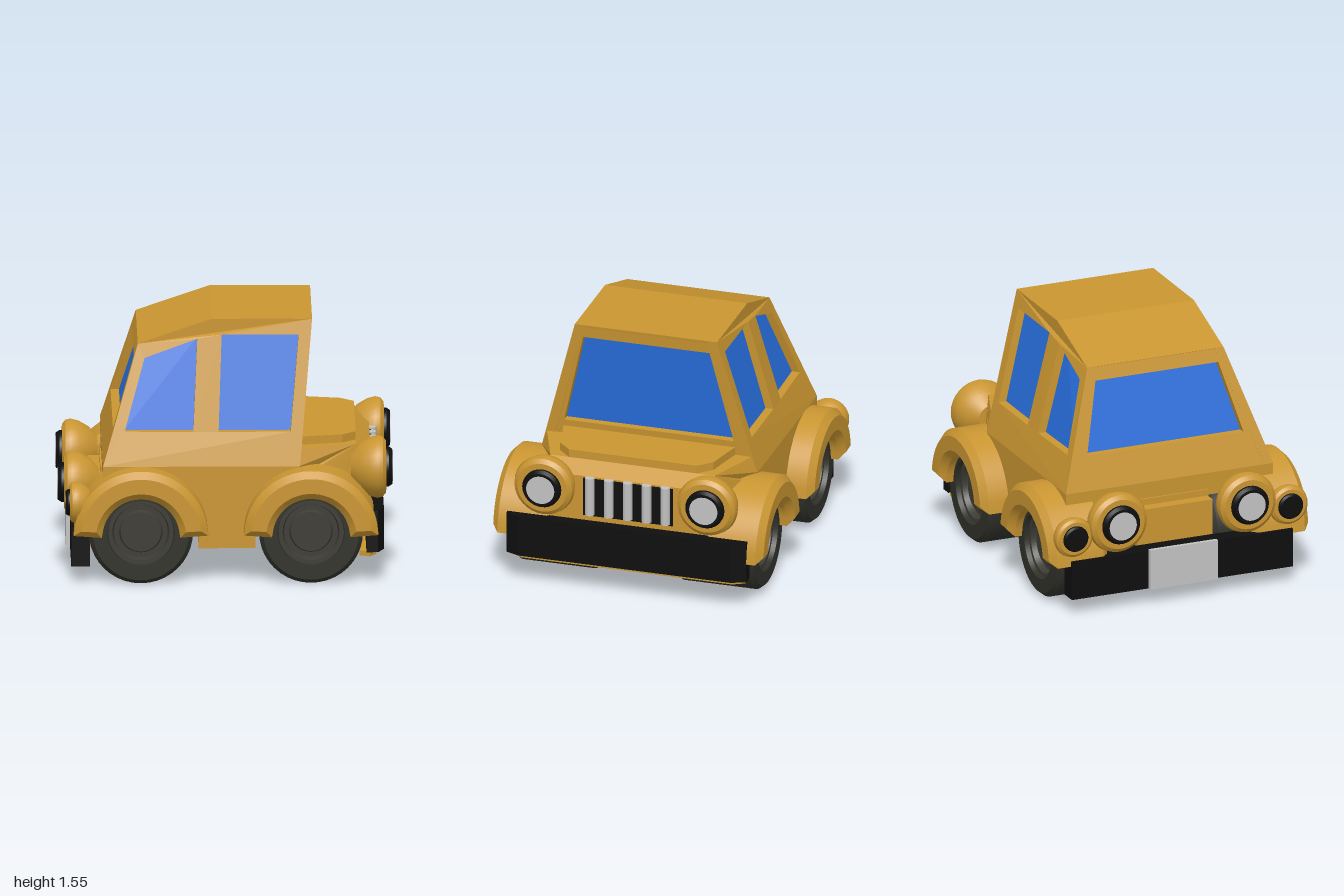
import * as THREE from 'three';
import { toCreasedNormals } from 'three/addons/utils/BufferGeometryUtils.js';

const mat = (name, color) => {
  const m = new THREE.MeshStandardMaterial({ color });
  m.name = name;
  return m;
};
const V = (pts) => pts.map(([a, b]) => new THREE.Vector2(a, b));
const mirrored = (pts) => [...pts, ...pts.map(([a, b]) => [a, -b]).reverse()];

export function createModel() {
  const car = new THREE.Group();
  car.name = 'car';
  const paint = mat('mustardPaint', 0xc99531);
  const glass = mat('blueGlass', 0x276ddb);
  const black = mat('blackTrim', 0x0e0e0f);
  const tyre = mat('tyreRubber', 0x30302a);
  const rim = mat('wheelRim', 0x3c3b34);
  const silver = mat('silver', 0xc2c2c2);

  const add = (name, geo, material, x = 0, y = 0, z = 0) => {
    const mesh = new THREE.Mesh(geo, material);
    mesh.name = name;
    mesh.position.set(x, y, z);
    car.add(mesh);
    return mesh;
  };
  const box = (name, m, x0, x1, y0, y1, z0, z1) =>
    add(name, new THREE.BoxGeometry(x1 - x0, y1 - y0, z1 - z0), m, (x0 + x1) / 2, (y0 + y1) / 2, (z0 + z1) / 2);
  const extrude = (shape, depth) => new THREE.ExtrudeGeometry(shape, { depth, bevelEnabled: false, curveSegments: 20 });
  const move = (geo, rule) => {
    const p = geo.attributes.position;
    for (let i = 0; i < p.count; i++) p.setZ(i, rule(p.getX(i), p.getY(i), p.getZ(i)));
    geo.computeVertexNormals();
    return geo;
  };
  const lathe = (pts, seg = 32) => toCreasedNormals(new THREE.LatheGeometry(V(pts), seg), 0.55);

  // Slab whose outer face leans along surface(u, y), on the side given by s
  const slab = (pts, holes, depth, inset, s, surface) => {
    const shape = new THREE.Shape(V(pts));
    for (const h of holes) shape.holes.push(new THREE.Path(V(h)));
    return move(extrude(shape, depth), (u, y, d) =>
      s > 0 ? d - depth - inset + surface(u, y) : d + inset - surface(u, y));
  };

  // Lower body with wheel arches, narrowed towards the nose
  const profile = new THREE.Shape();
  profile.moveTo(-0.75, 0.62);
  profile.absarc(-0.5, 0.31, 0.34, 0.735 * Math.PI, 0, true);
  profile.lineTo(-0.16, 0.2);
  profile.lineTo(0.18, 0.2);
  profile.absarc(0.51, 0.31, 0.33, Math.PI, 0, true);
  for (const [x, y] of [[0.87, 0.31], [0.87, 0.73], [0.78, 0.8], [0.45, 0.8], [0.44, 0.7], [-0.73, 0.7]])
    profile.lineTo(x, y);
  add('lowerBody', move(extrude(profile, 2), (x, y, z) => {
    const nose = THREE.MathUtils.clamp((x - 0.45) / 0.42, 0, 1);
    return (z - 1) * (0.675 - 0.17 * nose) * (y > 0.75 ? 0.95 : 1);
  }), paint);
  box('floorTub', paint, -0.74, 0.85, 0.2, 0.6, -0.25, 0.25);
  box('rearPanel', paint, -0.81, -0.73, 0.11, 0.56, -0.245, 0.245);

  // Cabin sides with recessed windows
  const sideWidth = (x, y) => {
    const top = 1.55 + 0.341 * THREE.MathUtils.clamp(x + 0.08, -0.44, 0);
    return THREE.MathUtils.lerp(0.445, 0.675, (top - y) / (top - 0.7));
  };
  const sideOutline = [[-0.73, 0.7], [0.445, 0.7], [0.52, 1.55], [-0.08, 1.55], [-0.52, 1.4]];
  const windows = [
    [[-0.6, 0.9], [-0.19, 0.9], [-0.165, 1.435], [-0.48, 1.32]],
    [[-0.04, 0.9], [0.39, 0.9], [0.44, 1.46], [-0.02, 1.46]],
  ];
  for (const s of [1, -1]) {
    add('cabinSide', slab(sideOutline, windows, 0.06, 0, s, sideWidth), paint);
    for (const w of windows) add('sideWindow', slab(w, [], 0.008, 0.05, s, sideWidth), glass);
  }

  // Windshield and rear window frames
  const ends = [
    { name: 'windshield', s: 1, surface: (u, y) => 0.519 - 0.093 * (1.55 - y),
      frame: [[-0.652, 0.78], [0.652, 0.78], [0.443, 1.55], [-0.443, 1.55]],
      pane: [[-0.53, 0.89], [0.53, 0.89], [0.395, 1.47], [-0.395, 1.47]] },
    { name: 'rearWindow', s: -1, surface: (u, y) => 0.519 + 0.3 * (1.4 - y),
      frame: [[-0.673, 0.7], [0.673, 0.7], [0.443, 1.4], [-0.443, 1.4]],
      pane: [[-0.51, 0.9], [0.51, 0.9], [0.4, 1.32], [-0.4, 1.32]] },
  ];
  for (const { name, s, surface, frame, pane } of ends) {
    add(name + 'Frame', slab(frame, [pane], 0.06, 0, s, surface).rotateY(Math.PI / 2), paint);
    add(name, slab(pane, [], 0.008, 0.05, s, surface).rotateY(Math.PI / 2), glass);
  }

  // Roof and raised hood panel
  const roof = [[-0.52, 1.4], [-0.51, 1.365], [-0.07, 1.515], [0.515, 1.515], [0.52, 1.55], [-0.08, 1.55]];
  add('roof', extrude(new THREE.Shape(V(roof)), 0.888), paint, 0, 0.001, -0.444);
  const plan = (name, m, pts, y0, y1) =>
    add(name, extrude(new THREE.Shape(V(mirrored(pts))), y1 - y0).rotateX(-Math.PI / 2), m, 0, y0, 0);
  plan('hoodPanel', paint, [[0.44, 0.54], [0.52, 0.52], [0.7, 0.48], [0.78, 0.4]], 0.78, 0.85);

  // Wheels and fenders
  const fenderShape = new THREE.Shape();
  fenderShape.absarc(0, 0, 0.36, 0.12, Math.PI - 0.12, false);
  fenderShape.absarc(0, 0, 0.27, Math.PI - 0.14, 0.14, true);
  const fender = new THREE.ExtrudeGeometry(fenderShape, {
    depth: 0.3, bevelThickness: 0.04, bevelSize: 0.04, bevelSegments: 1, curveSegments: 24,
  });
  const tyrePts = [[0, 0.25], [0.28, 0.25], [0.31, 0.28], [0.31, 0.73], [0.285, 0.76], [0.2, 0.76], [0.19, 0.69]];
  const rimPts = [[0.2, 0.73], [0.17, 0.73], [0.16, 0.69], [0.13, 0.69], [0.12, 0.715], [0, 0.715]];
  for (const x of [-0.505, 0.51]) for (const s of [1, -1]) {
    add('tyre', lathe(tyrePts, 40).rotateX(s * Math.PI / 2), tyre, x, 0.31, 0);
    add('wheelRim', lathe(rimPts, 40).rotateX(s * Math.PI / 2), rim, x, 0.31, 0);
    add('fender', toCreasedNormals(fender, 0.4), paint, x, 0.3, s > 0 ? 0.505 : -0.805);
  }

  // Lamps: domed housing, black ring and lens, sized by k and facing s along x
  const lamp = (name, s, tip, y, z, k, lensMat) => {
    const put = (part, pts, m) =>
      add(name + part, lathe(pts.map(([r, d]) => [r * k, d * k])).rotateZ(-s * Math.PI / 2), m, s * tip, y, z);
    put('Housing', [[0, -0.25], [0.08, -0.25], [0.14, -0.2], [0.175, -0.14], [0.188, -0.09], [0.18, -0.06],
      [0.155, -0.04], [0, -0.04]], paint);
    put('Ring', [[0.12, -0.05], [0.12, -0.025], [0.105, -0.003], [0, -0.003]], black);
    put('Lens', [[0.088, -0.01], [0.088, 0], [0, 0]], lensMat);
  };
  for (const s of [1, -1]) {
    lamp('headlight', 1, 1, 0.66, s * 0.51, 1, silver);
    lamp('rearLamp', -1, 1, 0.55, s * 0.42, 1, silver);
    lamp('markerLamp', -1, 0.955, 0.49, s * 0.7, 0.66, black);
  }

  // Grille with vertical bars
  box('grille', black, 0.86, 0.88, 0.48, 0.72, -0.28, 0.28);
  for (let i = -2; i <= 2; i++)
    add('grilleBar', new THREE.CylinderGeometry(0.03, 0.03, 0.24, 8), silver, 0.882, 0.61, i * 0.118);

  // Bumpers and number plate
  plan('frontBumper', black, [[0.84, 0.75], [0.91, 0.75], [0.945, 0.66]], 0.19, 0.445);
  plan('bumperUnderside', paint, [[0.8, 0.7], [0.86, 0.73], [0.9, 0.66]], 0.16, 0.19);
  box('rearBumper', black, -0.92, -0.81, 0.1, 0.34, -0.72, 0.72);
  box('plate', silver, -0.945, -0.92, 0.1, 0.35, -0.22, 0.22);

  return car;
}
